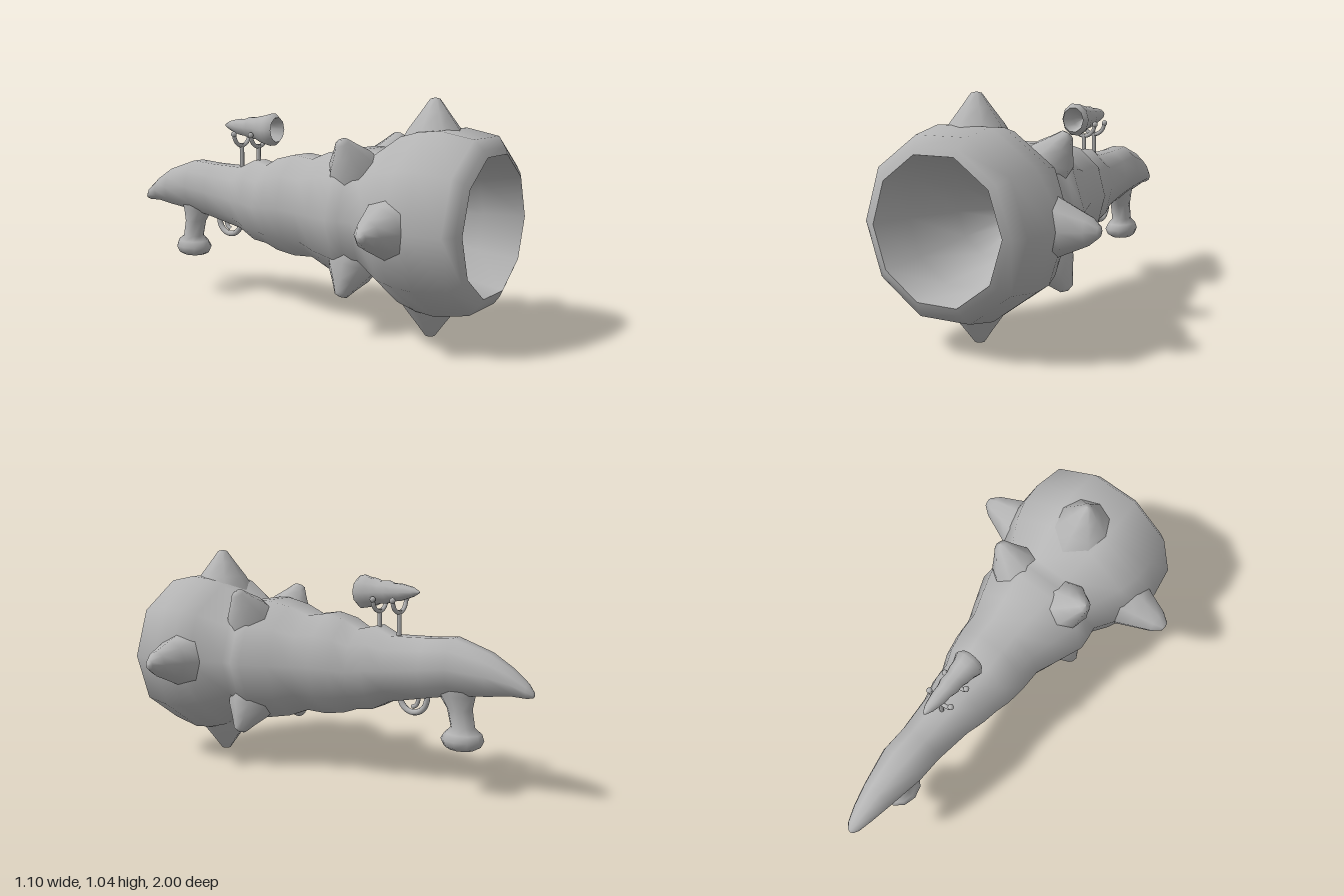
import * as THREE from 'three';

const hornGrey = new THREE.MeshStandardMaterial({ color: 0xb4b4b4 });
hornGrey.name = 'hornGrey';

// Smooth tube through elliptical rings [z, cx, cy, rx, ry], listed from +z to -z.
// Listing them from -z to +z gives an inward-facing cavity.
function loft(rings, sides) {
  const pos = [], index = [];
  rings.forEach(([z, cx, cy, rx, ry], i) => {
    for (let j = 0; j < sides; j++) {
      const a = (j / sides) * Math.PI * 2;
      pos.push(cx + rx * Math.cos(a), cy + ry * Math.sin(a), z);
      if (i === rings.length - 1) continue;
      const p = i * sides + j, q = i * sides + ((j + 1) % sides);
      index.push(p, p + sides, q, q, p + sides, q + sides);
    }
  });
  const g = new THREE.BufferGeometry();
  g.setAttribute('position', new THREE.Float32BufferAttribute(pos, 3));
  g.setIndex(index);
  g.computeVertexNormals();
  return g;
}

export function createModel() {
  const group = new THREE.Group();
  const add = (name, geometry, parent = group) => {
    const mesh = new THREE.Mesh(geometry, hornGrey);
    mesh.name = name;
    parent.add(mesh);
    return mesh;
  };
  const AXIS = 0.52, CX = -0.015;

  // Body: bell, ribbed neck and drooping tail
  add('hornBody', loft([
    [1.0, 0, AXIS, 0.305, 0.305],
    [0.985, 0, AXIS, 0.335, 0.335],
    [0.95, 0, AXIS, 0.385, 0.38],
    [0.8, 0, AXIS, 0.41, 0.41],
    [0.7, 0, AXIS, 0.405, 0.4],
    [0.61, 0, AXIS, 0.375, 0.375],
    [0.47, 0, AXIS, 0.285, 0.285],
    [0.41, 0, AXIS, 0.295, 0.305],
    [0.35, 0, AXIS, 0.3, 0.305],
    [0.22, 0, AXIS, 0.25, 0.28],
    [0.12, 0, AXIS, 0.21, 0.24],
    [0.02, -0.005, 0.525, 0.205, 0.25],
    [-0.08, -0.01, 0.52, 0.19, 0.23],
    [-0.15, CX, 0.513, 0.165, 0.197],
    [-0.23, CX, 0.527, 0.155, 0.202],
    [-0.32, CX, 0.53, 0.13, 0.158],
    [-0.5, CX, 0.55, 0.11, 0.142],
    [-0.63, CX, 0.567, 0.11, 0.134],
    [-0.8, CX, 0.548, 0.078, 0.097],
    [-0.9, CX, 0.525, 0.055, 0.06],
    [-0.97, CX, 0.496, 0.033, 0.033],
    [-0.995, CX, 0.482, 0.015, 0.014],
    [-1.0, CX, 0.48, 0, 0],
  ], 10));

  // Hollow of the bell
  add('mouthCavity', loft([
    [0.42, 0, AXIS, 0, 0],
    [0.45, 0, AXIS, 0.07, 0.07],
    [0.6, 0, AXIS, 0.18, 0.18],
    [0.82, 0, AXIS, 0.27, 0.27],
    [1.0, 0, AXIS, 0.305, 0.305],
  ], 10));

  // Blunt spikes: four on the bell, four diagonal ones on the neck
  const spike = (name, angle, z, profile) => {
    const rings = profile.map(([h, r]) => [h, 0, 0, r, r]);
    const mesh = add(name, loft(rings, 8));
    mesh.position.set(0, AXIS, z);
    mesh.quaternion.setFromUnitVectors(
      new THREE.Vector3(0, 0, 1),
      new THREE.Vector3(Math.cos(angle), Math.sin(angle), 0));
  };
  const bellSpike = [[0.52, 0], [0.515, 0.022], [0.46, 0.062], [0.39, 0.115], [0.3, 0.17]];
  const sideSpike = [[0.55, 0], [0.545, 0.024], [0.5, 0.06], [0.41, 0.1], [0.3, 0.15]];
  const neckSpike = [[0.42, 0], [0.41, 0.03], [0.36, 0.06], [0.3, 0.1], [0.22, 0.13]];
  for (let i = 0; i < 4; i++) {
    spike('bellSpike', i * Math.PI / 2, i % 2 ? 0.71 : 0.69, i % 2 ? bellSpike : sideSpike);
    const diagonal = THREE.MathUtils.degToRad(54);
    spike('neckSpike', [diagonal, Math.PI - diagonal, Math.PI + diagonal, -diagonal][i], 0.4, neckSpike);
  }

  // Small horn-shaped sight with an open mouth
  const sight = new THREE.Group();
  sight.name = 'sight';
  group.add(sight);
  add('sightHorn', loft([
    [-0.12, CX, 0.87, 0.055, 0.06],
    [-0.145, CX, 0.87, 0.072, 0.08],
    [-0.18, CX, 0.868, 0.058, 0.072],
    [-0.21, CX, 0.87, 0.055, 0.066],
    [-0.24, CX, 0.872, 0.046, 0.054],
    [-0.28, CX, 0.874, 0.047, 0.054],
    [-0.31, CX, 0.874, 0.038, 0.043],
    [-0.35, CX, 0.876, 0.036, 0.04],
    [-0.41, CX, 0.88, 0.023, 0.023],
    [-0.44, CX, 0.88, 0.008, 0.006],
    [-0.445, CX, 0.88, 0, 0],
  ], 10), sight);
  add('sightCavity', loft([
    [-0.24, CX, 0.87, 0, 0],
    [-0.19, CX, 0.87, 0.035, 0.04],
    [-0.12, CX, 0.87, 0.055, 0.06],
  ], 10), sight);

  // Forked posts cradling the sight
  for (const z of [-0.235, -0.34]) {
    const post = add('sightPost', new THREE.CylinderGeometry(0.011, 0.011, 0.15, 8), sight);
    post.position.set(CX, 0.72, z);
    const yoke = add('sightYoke', new THREE.TorusGeometry(0.058, 0.01, 8, 14, Math.PI), sight);
    yoke.position.set(CX, 0.842, z);
    yoke.rotation.z = Math.PI;
    for (const side of [-1, 1]) {
      const knob = add('yokeKnob', new THREE.SphereGeometry(0.014, 8, 6), sight);
      knob.position.set(CX + side * 0.06, 0.842, z);
    }
  }

  // Grip with a flared pommel, lofted downwards
  const grip = add('grip', loft([
    [0.5, CX, 0.635, 0.07, 0.11],
    [0.44, CX, 0.64, 0.06, 0.085],
    [0.38, CX, 0.655, 0.05, 0.058],
    [0.3, CX, 0.672, 0.05, 0.055],
    [0.275, CX, 0.675, 0.07, 0.085],
    [0.245, CX, 0.67, 0.082, 0.1],
    [0.215, CX, 0.67, 0.07, 0.085],
    [0.202, CX, 0.67, 0.05, 0.06],
    [0.2, CX, 0.67, 0, 0],
  ], 10));
  grip.rotation.x = -Math.PI / 2;

  // Trigger guard and curved trigger
  const guard = add('triggerGuard', new THREE.TorusGeometry(0.07, 0.014, 8, 18, Math.PI * 1.1));
  guard.position.set(CX, 0.405, -0.42);
  guard.rotation.set(0, Math.PI / 2, Math.PI * 0.95, 'YXZ');
  const triggerPath = new THREE.CatmullRomCurve3([
    [0.44, -0.42], [0.4, -0.445], [0.37, -0.435], [0.36, -0.415],
  ].map(([y, z]) => new THREE.Vector3(CX, y, z)));
  add('trigger', new THREE.TubeGeometry(triggerPath, 10, 0.01, 8));

  return group;
}
